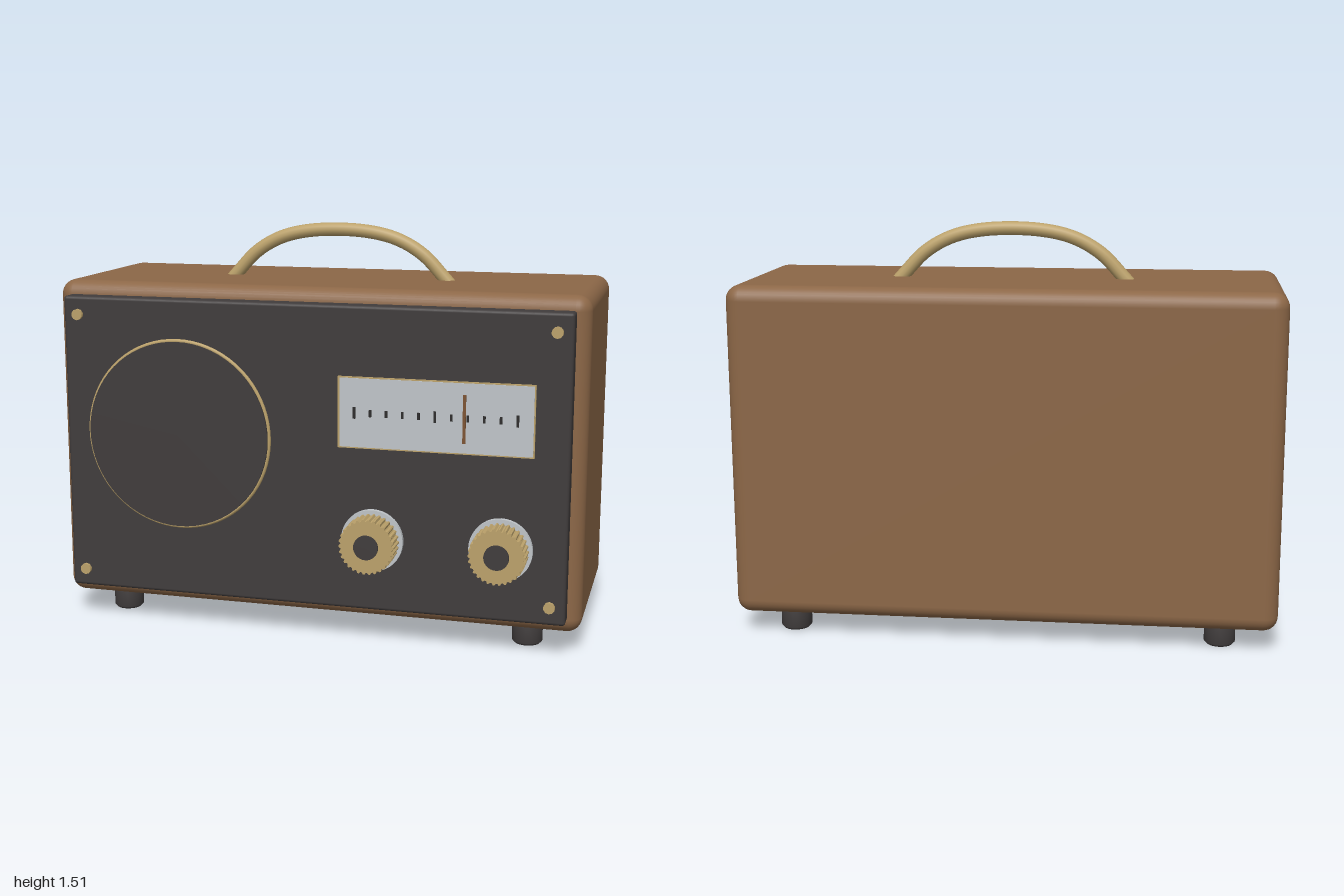
import * as THREE from 'three';
import { RoundedBoxGeometry } from 'three/addons/geometries/RoundedBoxGeometry.js';

const mat = (name, color) => {
  const m = new THREE.MeshStandardMaterial({ color });
  m.name = name;
  return m;
};

export function createModel() {
  const wood = mat('brown wood', 0x8c6747);
  const dark = mat('charcoal', 0x403c3c);
  const brass = mat('brass', 0xbca26b);
  const silver = mat('pale grey', 0xc0c5c9);
  const ink = mat('dial ink', 0x2c2a2a);
  const needle = mat('needle brown', 0x7c5232);

  const radio = new THREE.Group();
  radio.name = 'radio';

  const add = (name, geometry, material, x, y, z, parent = radio) => {
    const mesh = new THREE.Mesh(geometry, material);
    mesh.name = name;
    mesh.position.set(x, y, z);
    parent.add(mesh);
    return mesh;
  };
  const box = (w, h, d) => new THREE.BoxGeometry(w, h, d);
  // Disc facing the front, with its back at z = 0
  const disc = (r, depth, sides = 32, rFront = r) =>
    new THREE.CylinderGeometry(rFront, r, depth, sides).rotateX(Math.PI / 2).translate(0, 0, depth / 2);

  // Cabinet and front panel
  add('cabinet', new RoundedBoxGeometry(2, 1.228, 0.762, 4, 0.055), wood, 0, 0.692, -0.085);
  add('frontPanel', new RoundedBoxGeometry(1.9, 1.125, 0.08, 2, 0.012), dark, 0, 0.6925, 0.316);
  const face = 0.356;

  // Speaker: raised dark disc with a thin brass ring
  add('speakerDisc', disc(0.35, 0.017, 64), dark, -0.5, 0.75, face);
  add('speakerRing', new THREE.TorusGeometry(0.352, 0.008, 8, 72), brass, -0.5, 0.75, face + 0.003);

  // Tuning dial: frame, plate, scale marks and needle
  add('dialFrame', box(0.712, 0.262, 0.008), brass, 0.47, 0.87, face + 0.002);
  add('dialPlate', box(0.7, 0.252, 0.009), silver, 0.471, 0.87, face + 0.004);
  for (let i = 0; i <= 10; i++) {
    const height = i % 5 === 0 ? 0.042 : 0.025;
    add('scaleMark', box(0.009, height, 0.006), ink, 0.176 + i * 0.0589, 0.87, face + 0.01);
  }
  add('needle', box(0.011, 0.175, 0.006), needle, 0.576, 0.867, face + 0.01);

  // Fluted knobs on pale base plates
  const flutes = 30;
  const outline = new THREE.Shape();
  for (let i = 0; i < flutes * 4; i++) {
    const a = (i / (flutes * 4)) * Math.PI * 2;
    const r = i % 4 < 2 ? 0.102 : 0.095;
    outline[i ? 'lineTo' : 'moveTo'](r * Math.cos(a), r * Math.sin(a));
  }
  const knobBody = new THREE.ExtrudeGeometry(outline, { depth: 0.09, bevelEnabled: false });
  for (const x of [0.245, 0.715]) {
    const knob = new THREE.Group();
    knob.name = 'knob';
    knob.position.set(x, 0.4, face);
    radio.add(knob);
    add('knobPlate', disc(0.115, 0.018, 40), silver, 0, 0, 0, knob);
    add('knobBody', knobBody, brass, 0, 0, 0.015, knob);
    add('knobCap', disc(0.045, 0.012, 32), dark, 0, 0, 0.102, knob);
  }

  // Panel screws
  for (const x of [-0.893, 0.893])
    for (const y of [0.198, 1.187])
      add('screw', disc(0.021, 0.013, 10), brass, x, y, face);

  // Carrying handle
  const arch = [[-0.45, 1.27], [-0.41, 1.315], [-0.33, 1.398], [-0.23, 1.455], [-0.1, 1.484],
    [0.1, 1.484], [0.23, 1.455], [0.33, 1.398], [0.41, 1.315], [0.45, 1.27]];
  const path = new THREE.CatmullRomCurve3(arch.map(([x, y]) => new THREE.Vector3(x, y, 0)));
  add('handle', new THREE.TubeGeometry(path, 48, 0.0255, 12), brass, 0, 0, -0.086);

  // Feet with softened rims
  const footProfile = [[0, 0], [0.048, 0], [0.057, 0.01], [0.057, 0.068], [0.05, 0.08], [0, 0.08]]
    .map(([r, y]) => new THREE.Vector2(r, y));
  const foot = new THREE.LatheGeometry(footProfile, 24);
  for (const x of [-0.795, 0.795])
    for (const z of [0.18, -0.35])
      add('foot', foot, dark, x, 0, z);

  return radio;
}
